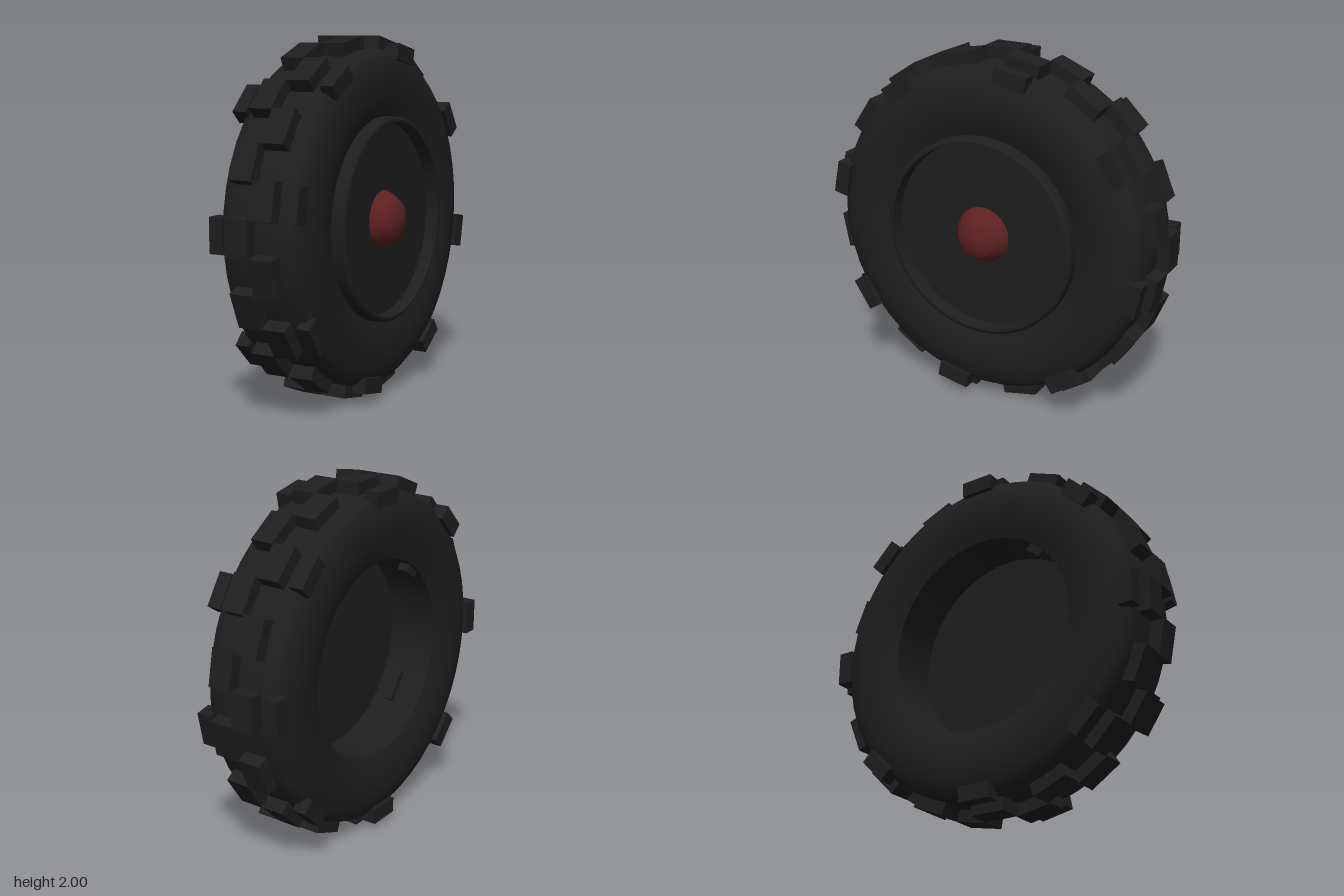
import * as THREE from 'three';

export function createModel() {
  const model = new THREE.Group();
  const rubber = new THREE.MeshStandardMaterial({ color: 0x1e1e1e });
  rubber.name = 'dark rubber';
  const red = new THREE.MeshStandardMaterial({ color: 0x5e2121 });
  red.name = 'dull red';

  const wheel = new THREE.Group();
  wheel.name = 'wheel';
  wheel.position.y = 1;
  model.add(wheel);

  // Surface turned about the x axle, from [radius, x] pairs
  function turned(name, profile, material, segments = 48) {
    const geometry = new THREE.LatheGeometry(profile.map(([r, x]) => new THREE.Vector2(r, x)), segments);
    geometry.rotateZ(-Math.PI / 2);
    const mesh = new THREE.Mesh(geometry, material);
    mesh.name = name;
    wheel.add(mesh);
  }

  // Tyre: bulging sidewalls, rounded shoulders and a flat tread
  turned('tyre', [
    [0.565, -0.25], [0.62, -0.269], [0.68, -0.283], [0.75, -0.29], [0.82, -0.284], [0.885, -0.264],
    [0.92, -0.235], [0.933, -0.18], [0.935, -0.1], [0.935, 0.04], [0.933, 0.115], [0.92, 0.168],
    [0.885, 0.198], [0.82, 0.217], [0.75, 0.223], [0.68, 0.217], [0.62, 0.203], [0.56, 0.182],
  ], rubber);

  // Open cavity in the back
  turned('cavityWall', [[0.565, 0.04], [0.565, -0.25]], rubber);

  // Raised rim lip around the recessed disc
  turned('rimOuter', [[0.567, 0.175], [0.565, 0.245]], rubber);
  turned('rimBevel', [[0.565, 0.245], [0.55, 0.257]], rubber);
  turned('rimFace', [[0.55, 0.257], [0.537, 0.257]], rubber);
  turned('rimInner', [[0.537, 0.257], [0.53, 0.18]], rubber);

  const disc = new THREE.Mesh(new THREE.CylinderGeometry(0.575, 0.575, 0.145, 48), rubber);
  disc.name = 'wheelDisc';
  disc.rotation.z = -Math.PI / 2;
  disc.position.x = 0.1095;
  wheel.add(disc);

  // Hub cap with a flared base and blunt tip
  turned('hubCap', [[0.16, 0.18], [0.148, 0.208], [0.12, 0.25], [0.1, 0.273], [0.05, 0.29], [0, 0.295]], red, 24);

  // One block at an angle around the axle, between two radii
  function addLug(name, x, width, length, inner, outer, angle) {
    const lug = new THREE.Mesh(new THREE.BoxGeometry(width, length, outer - inner), rubber);
    const r = (inner + outer) / 2;
    lug.name = name;
    lug.position.set(x, r * Math.sin(angle), r * Math.cos(angle));
    lug.rotation.x = -angle;
    wheel.add(lug);
  }

  // Staggered tread: two dense centre rows and two sparse shoulder rows
  const half = Math.PI / 16;
  const rows = [
    ['leftCentreLug', 0.037, 0.135, 0.205, 0.89, 1.0, 16, half],
    ['rightCentreLug', -0.106, 0.135, 0.205, 0.89, 1.0, 16, 0],
    ['leftShoulderLug', 0.185, 0.08, 0.19, 0.873, 0.961, 8, half],
    ['rightShoulderLug', -0.255, 0.08, 0.19, 0.873, 0.961, 8, 0],
  ];
  for (const [name, x, width, length, inner, outer, count, start] of rows) {
    for (let i = 0; i < count; i++) {
      addLug(name, x, width, length, inner, outer, start + (i * 2 * Math.PI) / count);
    }
  }

  // Small blocks on the cavity wall
  addLug('cavityBlock', -0.07, 0.05, 0.19, 0.525, 0.58, -0.66);
  addLug('cavityBlock', -0.2, 0.06, 0.1, 0.52, 0.58, 0.88);

  return model;
}
